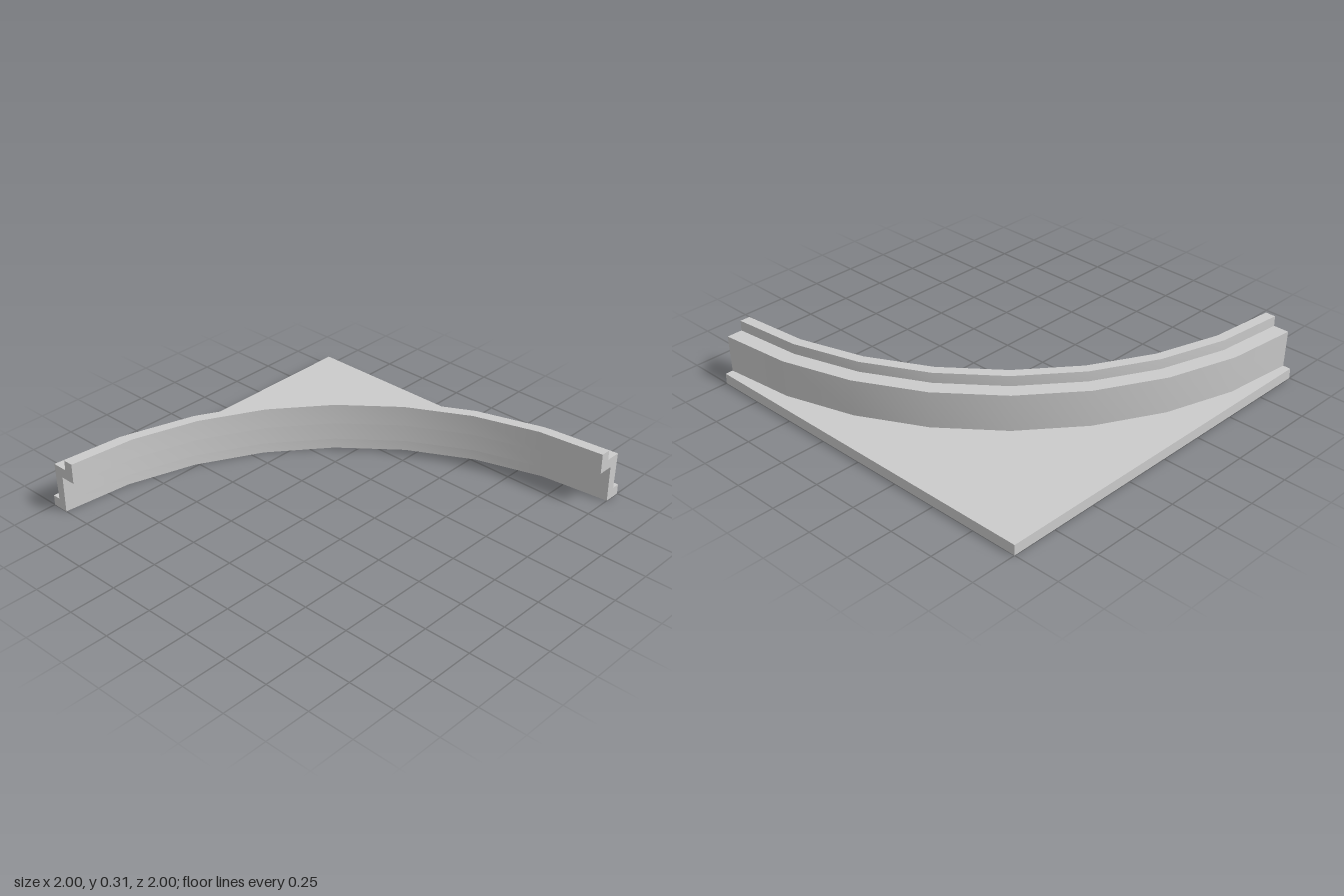
import * as THREE from 'three';
import { toCreasedNormals } from 'three/addons/utils/BufferGeometryUtils.js';

const SEGMENTS = 8;      // facets along the quarter arc
const BASE = 0.055;      // thickness of the corner plate
const INNER = 1.91;      // radius of the plate's curved edge
const CREASE = Math.PI / 6;

// Wall section as (radius, height), counter-clockwise from the outer foot
const SECTION = [
  [1.957, BASE], [1.965, 0.255], [1.88, 0.255], [1.88, 0.31],
  [1.825, 0.31], [1.825, 0.2], [INNER, 0.2], [INNER, BASE],
].map(([r, y]) => new THREE.Vector2(r, y));

export function createModel() {
  const model = new THREE.Group();
  const material = new THREE.MeshStandardMaterial({ color: 0xcccccc });
  const capMaterial = new THREE.MeshStandardMaterial({ color: 0xcccccc, side: THREE.DoubleSide });

  const add = (name, geometry, mat = material) => {
    const mesh = new THREE.Mesh(geometry, mat);
    mesh.name = name;
    model.add(mesh);
    return mesh;
  };

  // Corner plate: a square with a quarter circle cut away
  const outline = [new THREE.Vector2(1, -1), new THREE.Vector2(1, 1), new THREE.Vector2(-1, 1)];
  for (let i = SEGMENTS; i >= 0; i--) {
    const a = (i / SEGMENTS) * Math.PI / 2;
    outline.push(new THREE.Vector2(-1 + INNER * Math.cos(a), -1 + INNER * Math.sin(a)));
  }
  const plate = new THREE.ExtrudeGeometry(new THREE.Shape(outline), { depth: BASE, bevelEnabled: false });
  plate.rotateX(-Math.PI / 2);
  add('cornerPlate', toCreasedNormals(plate, CREASE));

  // Curved wall with an overhanging lip and a stepped top
  const wall = new THREE.LatheGeometry(SECTION, SEGMENTS, Math.PI / 2, Math.PI / 2);
  wall.translate(-1, 0, 1);
  add('curvedWall', toCreasedNormals(wall, CREASE));

  // Flat ends of the wall
  const cap = new THREE.ShapeGeometry(new THREE.Shape(SECTION));
  ['frontWallEnd', 'sideWallEnd'].forEach((name, i) => {
    const end = add(name, cap, capMaterial);
    end.position.set(-1, 0, 1);
    end.rotation.y = i * Math.PI / 2;
  });

  return model;
}
